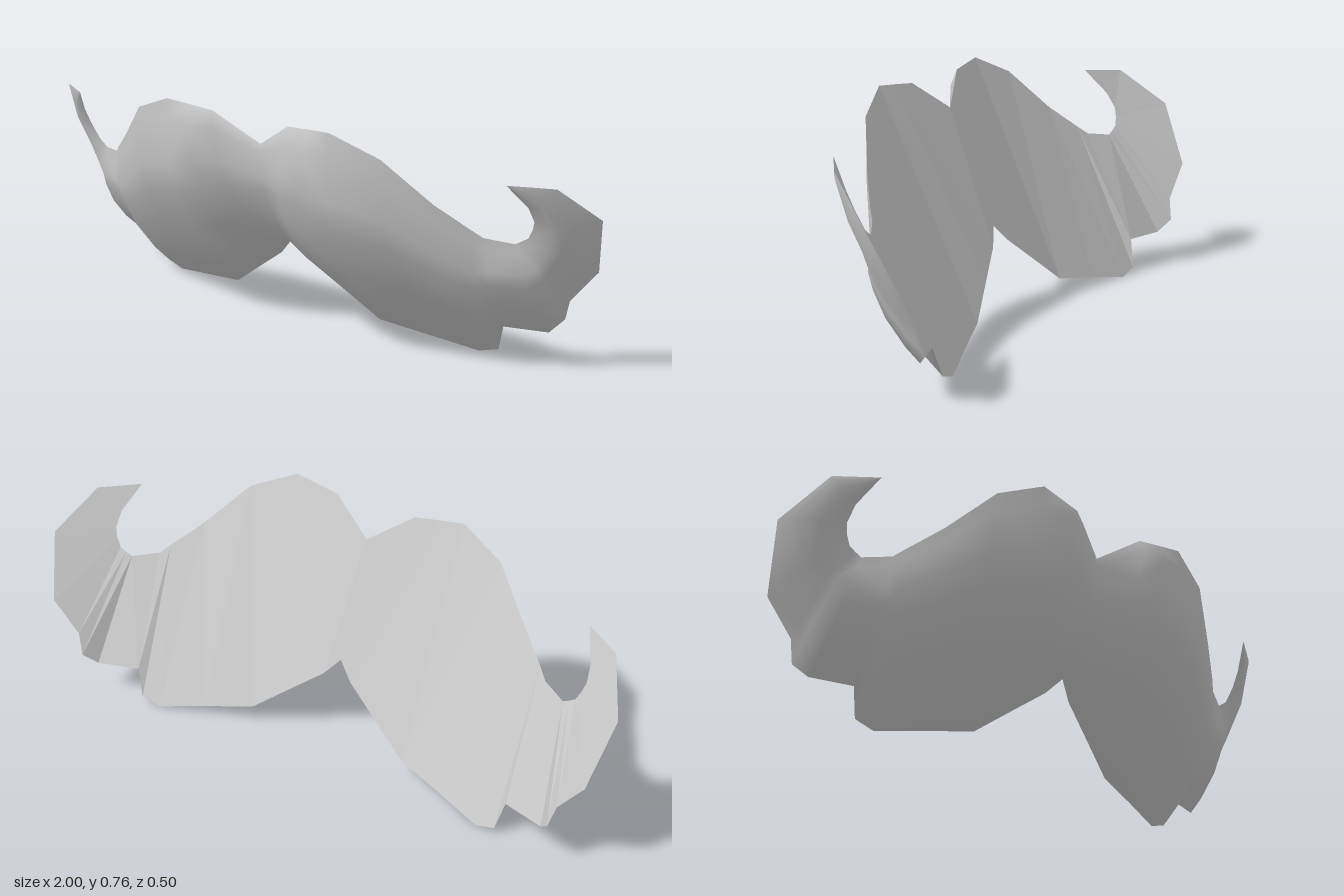
import * as THREE from 'three';

// Stations from the centre to the curled tip:
// upper edge, lower edge, bulge height, fullness just under the upper edge
const stations = [
  [[0, 0.655, 0.15], [0, 0.29, -0.005], 0.045, 0.25],
  [[0.14, 0.75, 0.205], [0.05, 0.235, -0.03], 0.085, 0.45],
  [[0.22, 0.758, 0.215], [0.165, 0.148, -0.065], 0.105, 0.55],
  [[0.30, 0.765, 0.225], [0.28, 0.06, -0.10], 0.107, 0.3],
  [[0.45, 0.70, 0.18], [0.44, 0.03, -0.145], 0.09, 0.25],
  [[0.58, 0.565, 0.095], [0.59, 0, -0.19], 0.07, 0.25],
  [[0.67, 0.487, 0.03], [0.655, 0.02, -0.195], 0.06, 0.25],
  [[0.70, 0.46, 0.005], [0.68, 0.11, -0.175], 0.055, 0.25],
  [[0.78, 0.445, -0.04], [0.815, 0.11, -0.215], 0.05, 0.25],
  [[0.80, 0.457, -0.043], [0.85, 0.15, -0.25], 0.045, 0.25],
  [[0.82, 0.47, -0.045], [0.87, 0.22, -0.235], 0.04, 0.25],
  [[0.835, 0.50, -0.04], [0.955, 0.33, -0.245], 0.035, 0.25],
  [[0.845, 0.53, -0.03], [1, 0.53, -0.155], 0.03, 0.25],
  [[0.84, 0.58, 0], [0.92, 0.65, -0.015], 0.012, 0.25],
  [[0.80, 0.66, 0.065], [0.80, 0.66, 0.065], 0, 0],
].map(([t, b, h, full]) => ({ top: new THREE.Vector3(...t), low: new THREE.Vector3(...b), h, full }));

// Cross-section from upper to lower edge: [position, share of the bulge height]
function crossSection(i) {
  const mid = (s) => s.top.clone().add(s.low).multiplyScalar(0.5);
  const { top, low, h, full } = stations[i];
  const next = stations[Math.min(i + 1, stations.length - 1)];
  const along = i === 0 ? new THREE.Vector3(1, 0, 0) : mid(next).sub(mid(stations[i - 1]));
  const out = along.cross(top.clone().sub(low)).normalize();
  const bulge = [[0, 0], [0.07, full], [0.24, 0.9], [0.38, 1], [0.6, 0.91], [0.85, 0.45], [1, 0]];
  return bulge.map(([t, k]) => top.clone().lerp(low, t).addScaledVector(out, h * k));
}

// Skin a row of cross-sections running from -x to +x, split along the shorter diagonals
function skin(rows, back) {
  const points = rows.flat(), n = rows[0].length, index = [];
  for (let i = 0; i < rows.length - 1; i++) {
    for (let j = 0; j < n - 1; j++) {
      const a = i * n + j, b = a + 1, c = a + n, d = c + 1;
      const quad = points[a].distanceTo(points[d]) < points[b].distanceTo(points[c])
        ? [a, b, d, a, d, c] : [a, b, c, b, d, c];
      index.push(...(back ? quad.reverse() : quad));
    }
  }
  const g = new THREE.BufferGeometry().setFromPoints(points);
  g.setIndex(index);
  const result = back ? g.toNonIndexed() : g;
  result.computeVertexNormals();
  return result;
}

export function createModel() {
  const group = new THREE.Group();
  group.name = 'moustache';
  const grey = new THREE.MeshStandardMaterial({ color: 0xc8c8c8 });
  grey.name = 'lightGrey';

  const half = stations.map((_, i) => crossSection(i));
  const mirrored = half.slice(1).reverse()
    .map((row) => row.map((p) => new THREE.Vector3(-p.x, p.y, p.z)));
  const rows = [...mirrored, ...half];

  // Rounded front, smooth across the middle
  const front = new THREE.Mesh(skin(rows, false), grey);
  front.name = 'roundedFront';

  // Back of flat strips between the two edges
  const edges = rows.map((row) => [row[0], row[row.length - 1]]);
  const back = new THREE.Mesh(skin(edges, true), grey);
  back.name = 'flatBack';

  group.add(front, back);
  return group;
}
